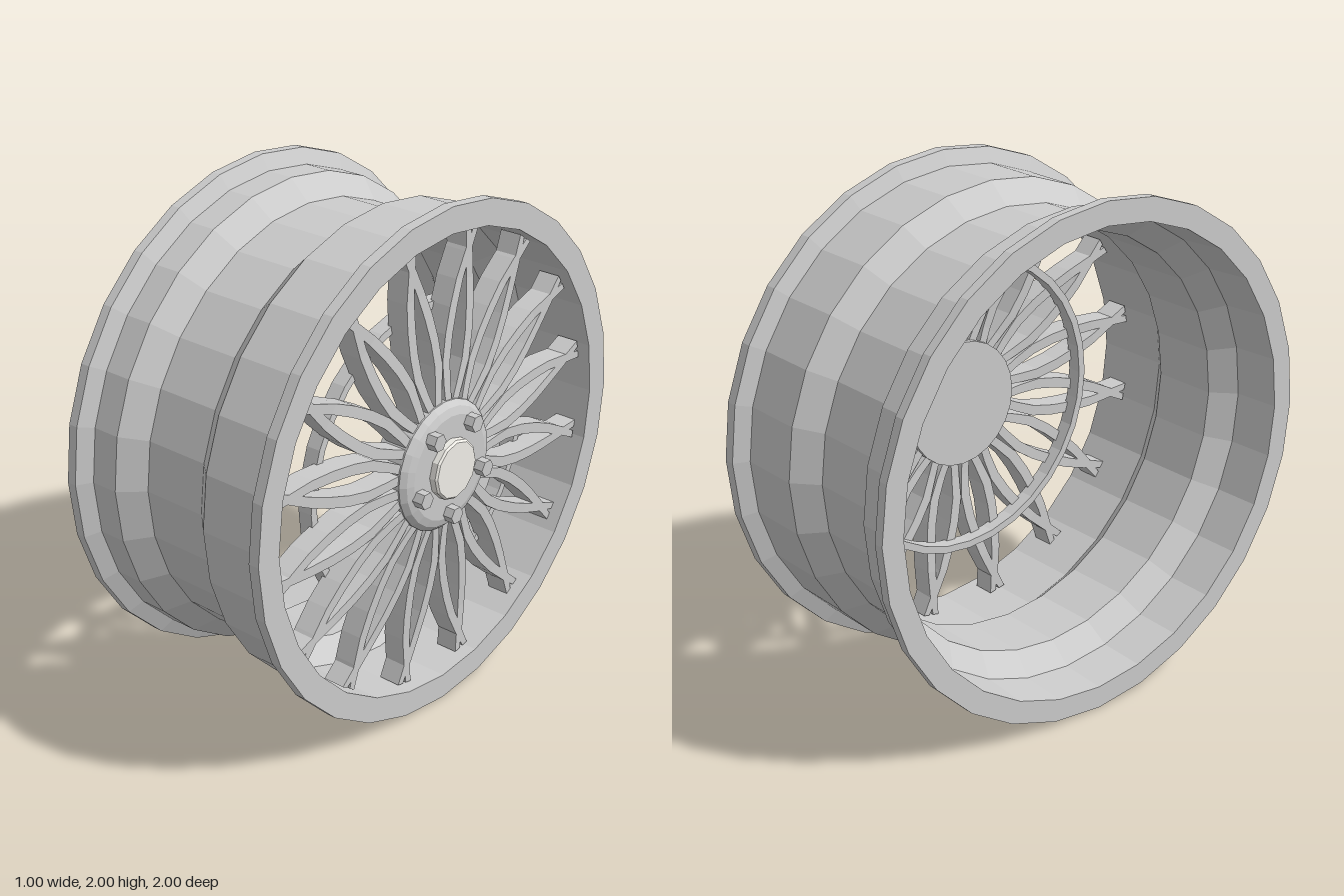
import * as THREE from 'three';

const grey = new THREE.MeshStandardMaterial({ color: 0xcccccc, flatShading: true });
const light = new THREE.MeshStandardMaterial({ color: 0xf0eee8, flatShading: true });

// Turned part around the x axis; profile points are [radius, x]
function turned(name, profile, sides, material = grey) {
  const geo = new THREE.LatheGeometry(profile.map(([r, x]) => new THREE.Vector2(r, x)), sides);
  geo.rotateZ(-Math.PI / 2);
  const mesh = new THREE.Mesh(geo, material);
  mesh.name = name;
  return mesh;
}

// Spoke strand stations: [radius, sideways offset, half width, front x, back x]
const strand = [
  [0.17, 0.010, 0.017, 0.425, 0.33],
  [0.24, 0.018, 0.018, 0.425, 0.33],
  [0.31, 0.037, 0.019, 0.42, 0.33],
  [0.40, 0.057, 0.021, 0.415, 0.325],
  [0.50, 0.058, 0.021, 0.41, 0.32],
  [0.60, 0.048, 0.021, 0.405, 0.315],
  [0.70, 0.030, 0.020, 0.40, 0.31],
  [0.80, 0.004, 0.018, 0.40, 0.31],
  [0.89, -0.023, 0.014, 0.40, 0.31],
];

// Box-section loft through the stations; side is +1 or -1
function strandGeometry(side) {
  const pos = [], idx = [];
  for (const [r, offset, w, front, back] of strand) {
    const z = side * offset;
    pos.push(front, r, z + w, front, r, z - w, back, r, z - w, back, r, z + w);
  }
  const last = (strand.length - 1) * 4;
  for (let i = 0; i < last; i += 4) {
    for (let k = 0; k < 4; k++) {
      const a = i + k, b = i + (k + 1) % 4;
      idx.push(a, b, b + 4, a, b + 4, a + 4);
    }
  }
  idx.push(0, 2, 1, 0, 3, 2, last, last + 1, last + 2, last, last + 2, last + 3);
  const geo = new THREE.BufferGeometry();
  geo.setAttribute('position', new THREE.Float32BufferAttribute(pos, 3));
  geo.setIndex(idx);
  geo.computeVertexNormals();
  return geo;
}

export function createModel() {
  const model = new THREE.Group();
  model.name = 'wheelRim';
  const wheel = new THREE.Group();
  wheel.name = 'wheel';
  wheel.position.y = 1;
  model.add(wheel);

  // Barrel with two lips and a dropped centre
  wheel.add(turned('barrel', [
    [0.91, -0.5], [1, -0.5], [1, -0.46], [0.94, -0.43], [0.94, -0.315], [0.86, -0.23],
    [0.86, 0.04], [0.94, 0.13], [0.94, 0.38], [1, 0.405], [1, 0.45], [0.9, 0.45],
    [0.9, 0.13], [0.82, 0.04], [0.82, -0.23], [0.9, -0.315], [0.91, -0.5],
  ], 28));

  // Petal spokes: mirrored strands that cross near the rim
  const sides = [1, -1].map(strandGeometry);
  for (let i = 0; i < 16; i++) {
    const spoke = new THREE.Group();
    spoke.name = 'spoke';
    spoke.rotation.x = (i + 0.5) * Math.PI / 8;
    for (const geo of sides) {
      const mesh = new THREE.Mesh(geo, grey);
      mesh.name = 'spokeStrand';
      spoke.add(mesh);
    }
    wheel.add(spoke);
  }

  // Thin support ring behind the spokes
  wheel.add(turned('supportRing', [
    [0.58, 0.27], [0.61, 0.27], [0.61, 0.33], [0.58, 0.33], [0.58, 0.27],
  ], 32));

  // Hub, centre cap and bolts
  wheel.add(turned('hub', [[0, 0.31], [0.255, 0.31], [0.255, 0.43], [0.235, 0.45], [0.205, 0.46], [0, 0.46]], 24));
  wheel.add(turned('centreCap', [[0, 0.45], [0.118, 0.45], [0.118, 0.485], [0.11, 0.492], [0, 0.492]], 12, light));
  for (let i = 0; i < 5; i++) {
    const a = Math.PI + i * Math.PI * 2 / 5;
    const bolt = turned('bolt', [[0, 0.44], [0.034, 0.44], [0.034, 0.5], [0, 0.5]], 6);
    bolt.position.set(0, 0.185 * Math.cos(a), 0.185 * Math.sin(a));
    wheel.add(bolt);
  }
  return model;
}
